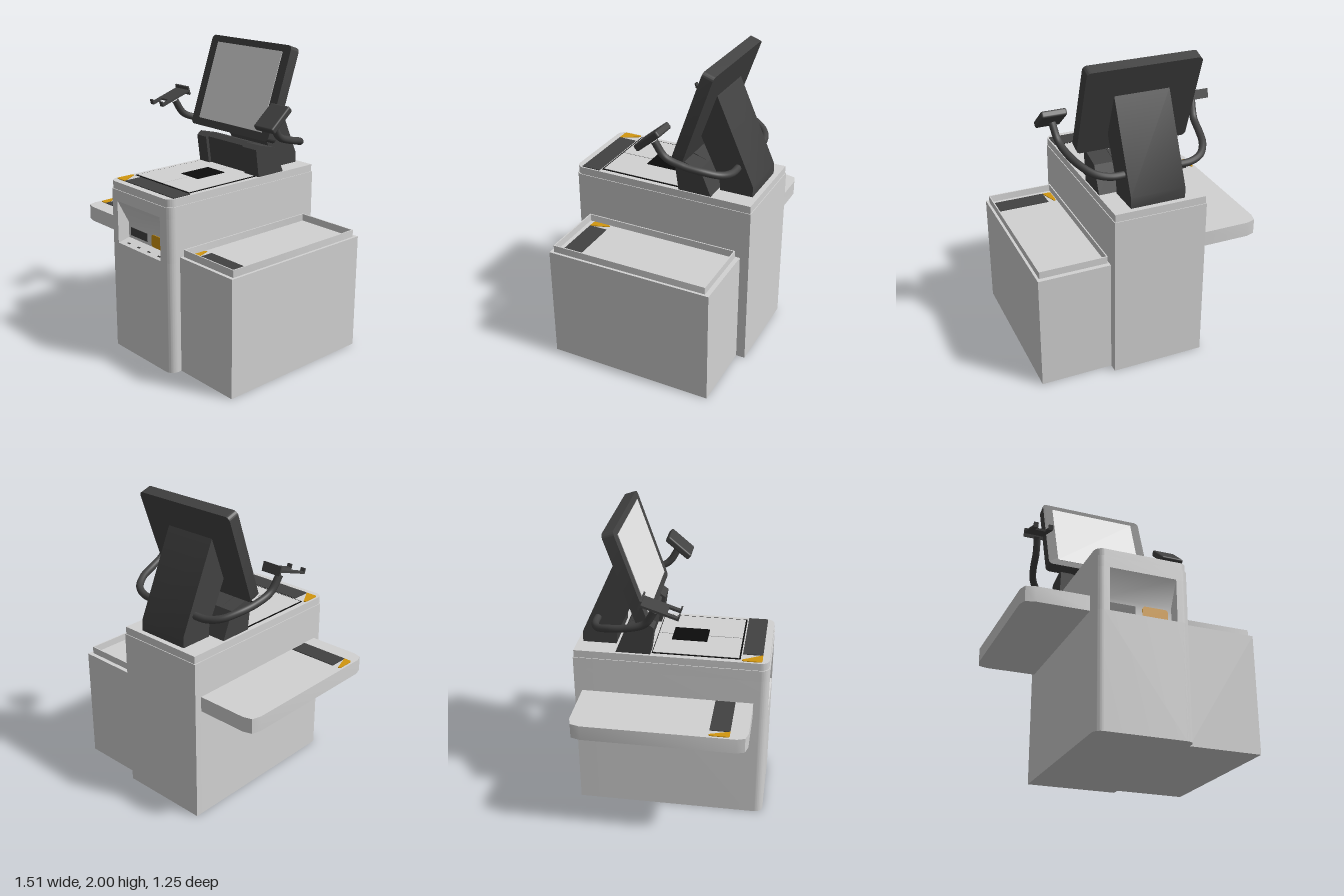
import * as THREE from 'three';
import { toCreasedNormals } from 'three/addons/utils/BufferGeometryUtils.js';
import { RoundedBoxGeometry } from 'three/addons/geometries/RoundedBoxGeometry.js';

const mat = (name, color) => {
  const m = new THREE.MeshStandardMaterial({ color });
  m.name = name;
  return m;
};

export function createModel() {
  const root = new THREE.Group();
  root.name = 'selfCheckout';
  const body = mat('light grey', 0xd2d2d2);
  const dark = mat('charcoal', 0x424242);
  const black = mat('black', 0x0c0c0c);
  const orange = mat('amber', 0xd2960f);
  const glass = mat('screen grey', 0xe0e0e0);

  const add = (name, geo, m, parent = root) => {
    const mesh = new THREE.Mesh(geo, m);
    mesh.name = name;
    parent.add(mesh);
    return mesh;
  };
  // Box given by its limits on each axis
  const box = (name, m, [x0, x1], [y0, y1], [z0, z1], parent) => {
    const mesh = add(name, new THREE.BoxGeometry(x1 - x0, y1 - y0, z1 - z0), m, parent);
    mesh.position.set((x0 + x1) / 2, (y0 + y1) / 2, (z0 + z1) / 2);
    return mesh;
  };
  const extrude = (shape, depth) => toCreasedNormals(
    new THREE.ExtrudeGeometry(shape, { depth, bevelEnabled: false, curveSegments: 8 }), 0.5);
  const polygon = (pts) => new THREE.Shape(pts.map(([a, b]) => new THREE.Vector2(a, b)));
  // Plan outline (shape y = -z) raised from y0 to y1
  const plan = (name, m, shape, y0, y1) =>
    add(name, extrude(shape, y1 - y0).rotateX(-Math.PI / 2).translate(0, y0, 0), m);
  // Side profile in [z, y] swept from x0 to x1
  const profile = (name, m, pts, x0, x1) =>
    add(name, extrude(polygon(pts.map(([z, y]) => [-z, y])), x1 - x0)
      .rotateY(Math.PI / 2).translate(x0, 0, 0), m);
  const roundRect = (x0, x1, y0, y1, r) => {
    const s = new THREE.Shape();
    s.absarc(x1 - r, y1 - r, r, 0, Math.PI / 2);
    s.absarc(x0 + r, y1 - r, r, Math.PI / 2, Math.PI);
    s.absarc(x0 + r, y0 + r, r, Math.PI, Math.PI * 1.5);
    s.absarc(x1 - r, y0 + r, r, Math.PI * 1.5, Math.PI * 2);
    return s;
  };

  // Cabinet: rounded front corners, with an optional cut for the front pocket
  const cabinetPlan = (inset, notch) => {
    const l = -0.34 + inset, r = 0.28 - inset, f = -0.625 + inset, c = 0.055;
    const s = new THREE.Shape();
    s.moveTo(r, 0.63 - inset);
    s.lineTo(l, 0.63 - inset);
    s.absarc(l + c, f + c, c, Math.PI, Math.PI * 1.5);
    if (notch) for (const [x, y] of [[-0.25, f], [-0.25, -0.5], [0.19, -0.5], [0.19, f]]) s.lineTo(x, y);
    s.absarc(r - c, f + c, c, Math.PI * 1.5, Math.PI * 2);
    return s;
  };
  plan('cabinetLower', body, cabinetPlan(0), 0, 0.745);
  plan('cabinetMiddle', body, cabinetPlan(0, true), 0.745, 1.03);
  plan('cabinetUpper', body, cabinetPlan(0), 1.03, 1.105);
  plan('cabinetCap', body, cabinetPlan(0.005), 1.105, 1.155);

  // Front pocket lining, slot and button
  profile('pocketLining', body, [[0.624, 1.03], [0.54, 0.87], [0.54, 0.765], [0.624, 0.745],
    [0.495, 0.745], [0.495, 1.03]], -0.25, 0.19);
  box('receiptSlot', dark, [-0.225, -0.05], [0.785, 0.84], [0.538, 0.544]);
  add('pocketButton', extrude(roundRect(-0.005, 0.165, 0.767, 0.85, 0.02), 0.006), orange)
    .position.z = 0.539;
  for (let i = 0; i < 4; i++) {
    const x = -0.19 + i * 0.105;
    box('pocketMark', dark, [x, x + 0.025], [0.75, 0.754], [0.588, 0.6]);
  }

  // Bagging unit with a shallow rimmed tray
  box('baggingUnit', body, [0.28, 0.755], [0, 0.775], [-0.57, 0.543]);
  const rim = roundRect(0.288, 0.738, -0.52, 0.54, 0.004);
  rim.holes.push(roundRect(0.296, 0.73, -0.512, 0.532, 0.004));
  plan('baggingRim', body, rim, 0.775, 0.822);

  // Side shelf with softened outer corners
  plan('sideShelf', body, polygon([[-0.335, 0.58], [-0.68, 0.58], [-0.738, 0.562], [-0.755, 0.5],
    [-0.755, -0.465], [-0.738, -0.515], [-0.68, -0.532], [-0.335, -0.532]]), 0.765, 0.865);

  // Dark strips with an amber end
  const strip = (x0, xm, x1, z0, z1, y) => {
    box('indicatorStrip', dark, [xm, x1], [y, y + 0.005], [z0, z1]);
    const s = new THREE.Shape();
    s.moveTo(xm, -z0);
    s.absarc(x0 + 0.015, -z0 - 0.015, 0.015, Math.PI / 2, Math.PI);
    s.absarc(x0 + 0.015, -z1 + 0.015, 0.015, Math.PI, Math.PI * 1.5);
    s.lineTo(xm, -z1);
    plan('indicatorEnd', orange, s, y, y + 0.005);
  };
  strip(-0.32, -0.232, 0.265, 0.447, 0.575, 1.155);
  strip(-0.74, -0.682, -0.348, 0.292, 0.42, 0.865);
  strip(0.303, 0.36, 0.717, 0.355, 0.48, 0.775);

  // Scanner bed: dark outline, two plates and a black window
  box('scannerOutline', black, [-0.3, 0.243], [1.155, 1.158], [-0.125, 0.438]);
  box('scannerPlateLeft', body, [-0.29, -0.032], [1.158, 1.161], [-0.12, 0.428]);
  box('scannerPlateRight', body, [-0.026, 0.233], [1.158, 1.161], [-0.12, 0.428]);
  box('scannerWindow', black, [-0.113, 0.054], [1.161, 1.165], [-0.025, 0.205]);

  // Stand base: cheeks either side of a slightly recessed panel
  const base = (d) => [[-0.132 - d, 1.155], [-0.106 - d, 1.34], [-0.14 - d, 1.365], [-0.28, 1.33], [-0.355, 1.155]];
  profile('baseCheekRight', dark, base(0), -0.317, -0.225);
  profile('basePanel', dark, base(0.022), -0.225, 0.135);
  profile('baseCheekLeft', dark, base(0), 0.135, 0.267);

  // Leaning mast behind the monitor
  profile('mast', dark, [[-0.59, 1.155], [-0.59, 1.225], [-0.337, 1.785], [-0.235, 1.5],
    [-0.365, 1.23], [-0.37, 1.155]], -0.207, 0.157);

  // Monitor
  const monitor = new THREE.Group();
  monitor.name = 'monitor';
  monitor.position.set(-0.024, 1.69, -0.26);
  monitor.rotation.x = -0.333;
  root.add(monitor);
  add('monitorCase', extrude(roundRect(-0.375, 0.375, -0.3125, 0.3125, 0.03), 0.075)
    .translate(0, 0, -0.0375), dark, monitor);
  box('screen', glass, [-0.306, 0.309], [-0.262, 0.268], [0.034, 0.041], monitor);

  // Curved arms, mirrored about the stand centre
  for (const side of [-1, 1]) {
    const pts = [[0.15, 1.335, -0.485], [0.27, 1.338, -0.482], [0.355, 1.355, -0.445], [0.415, 1.385, -0.36],
      [0.45, 1.415, -0.24], [0.468, 1.46, -0.13], [0.482, 1.56, -0.065]]
      .map(([x, y, z]) => new THREE.Vector3(-0.025 + side * x, y, z));
    add(side > 0 ? 'armLeft' : 'armRight',
      new THREE.TubeGeometry(new THREE.CatmullRomCurve3(pts), 40, 0.024, 12), dark);
  }

  // Card reader on the left arm
  const reader = add('cardReader', new RoundedBoxGeometry(0.165, 0.045, 0.2, 3, 0.012), dark);
  reader.position.set(0.463, 1.588, -0.056);
  reader.rotation.x = 0.7;

  // Forked cradle on the right arm
  const cradle = new THREE.Group();
  cradle.name = 'cradle';
  cradle.position.set(-0.512, 1.585, -0.03);
  cradle.rotation.x = 0.32;
  root.add(cradle);
  box('cradlePlate', dark, [-0.068, 0.068], [-0.007, 0.007], [-0.115, 0.05], cradle);
  box('cradleBack', dark, [-0.068, 0.068], [-0.03, 0.03], [-0.125, -0.113], cradle);
  for (const side of [-1, 1]) {
    const x = side * 0.052;
    box('cradleProng', dark, [x - 0.016, x + 0.016], [-0.007, 0.007], [0.05, 0.125], cradle);
    box('cradleTip', dark, [x - 0.016, x + 0.016], [-0.007, 0.028], [0.115, 0.125], cradle);
  }
  return root;
}
